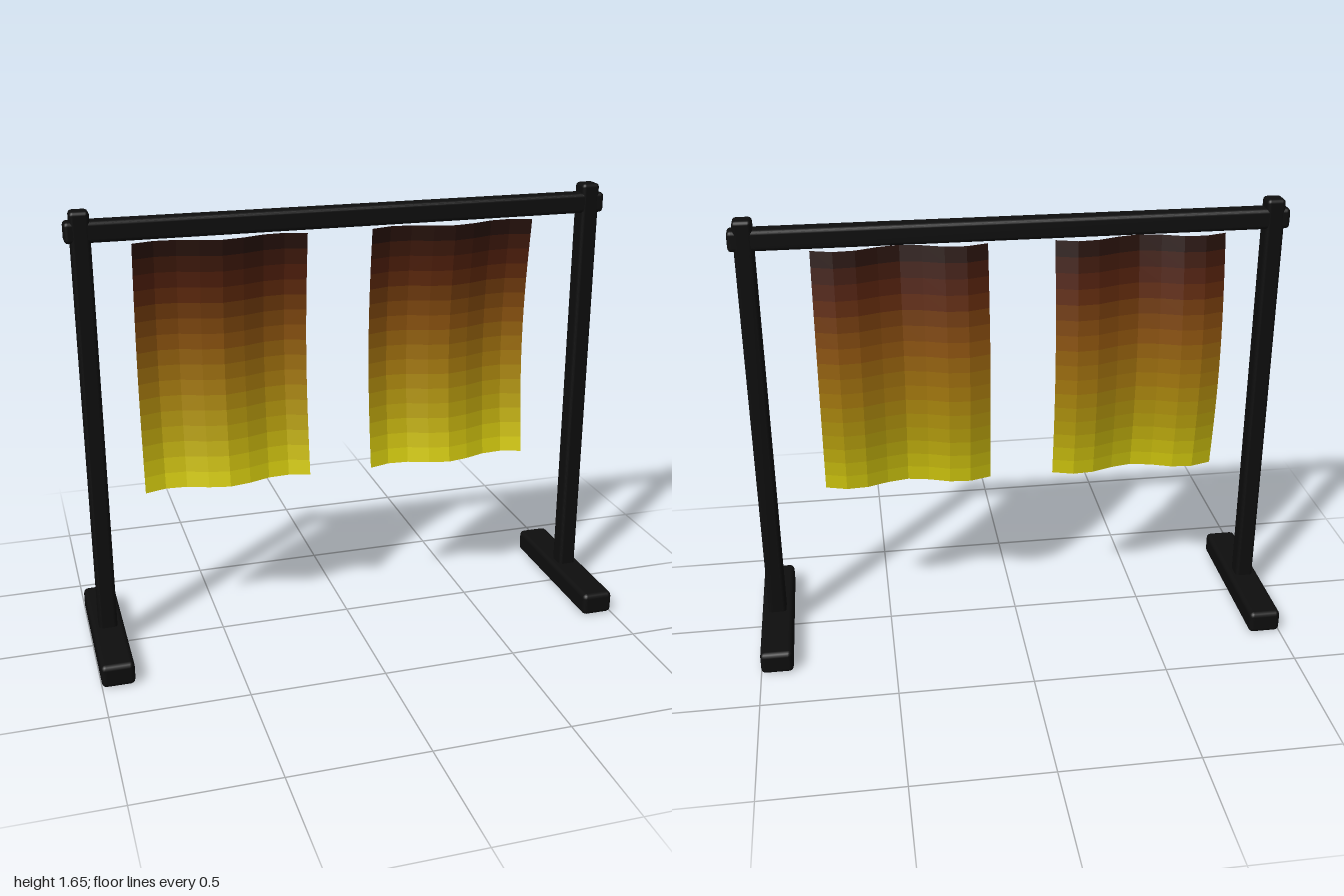
import * as THREE from 'three';
import { RoundedBoxGeometry } from 'three/addons/geometries/RoundedBoxGeometry.js';

const WIDTH = 0.624, TOP = 1.53, BOTTOM = 0.6, ROWS = 16;

// Colour of the cloth from the dark top (0) to the yellow hem (1)
const STOPS = [0x120d0c, 0x5a230c, 0x8c520e, 0xa87c0e, 0xbca60e, 0xded610].map(c => new THREE.Color(c));
function clothColor(t) {
  const s = t * (STOPS.length - 1);
  const i = Math.min(Math.floor(s), STOPS.length - 2);
  return STOPS[i].clone().lerp(STOPS[i + 1], s - i);
}

// Hanging cloth: wavy across, bulging backwards down its length
function makeCloth(name, x) {
  const cloth = new THREE.Group();
  cloth.name = name;
  const h = (TOP - BOTTOM) / ROWS;
  for (let r = 0; r < ROWS; r++) {
    const geo = new THREE.PlaneGeometry(WIDTH, h, 8, 1);
    geo.translate(0, TOP - (r + 0.5) * h, 0);
    const p = geo.attributes.position;
    for (let i = 0; i < p.count; i++) {
      const u = p.getX(i) / WIDTH + 0.5;
      const v = (TOP - p.getY(i)) / (TOP - BOTTOM);
      p.setZ(i, 0.003 - 0.04 * Math.sin(Math.PI * v) - 0.026 * Math.sin(3 * Math.PI * u));
    }
    geo.computeVertexNormals();
    const band = new THREE.Mesh(geo, new THREE.MeshStandardMaterial({
      color: clothColor((r + 0.5) / ROWS), side: THREE.DoubleSide, flatShading: true,
    }));
    band.name = 'clothBand' + (r + 1);
    cloth.add(band);
  }
  cloth.position.x = x;
  return cloth;
}

export function createModel() {
  const model = new THREE.Group();
  model.name = 'clothStand';
  const black = new THREE.MeshStandardMaterial({ color: 0x0e0e0e });

  const bar = (name, w, h, d, x, y, z, radius) => {
    const mesh = new THREE.Mesh(new RoundedBoxGeometry(w, h, d, 2, radius), black);
    mesh.name = name;
    mesh.position.set(x, y, z);
    model.add(mesh);
  };

  // Posts on long feet, mirrored
  for (const [side, s] of [['left', 1], ['right', -1]]) {
    bar(side + 'Foot', 0.12, 0.087, 0.636, s * 0.94, 0.0435, 0, 0.018);
    bar(side + 'Post', 0.068, 1.61, 0.072, s * 0.94, 0.85, 0, 0.014);
  }

  // Crossbar
  bar('crossbar', 1.99, 0.075, 0.07, 0, 1.583, 0, 0.015);

  // Two cloths
  model.add(makeCloth('rightCloth', -0.457), makeCloth('leftCloth', 0.408));
  return model;
}
